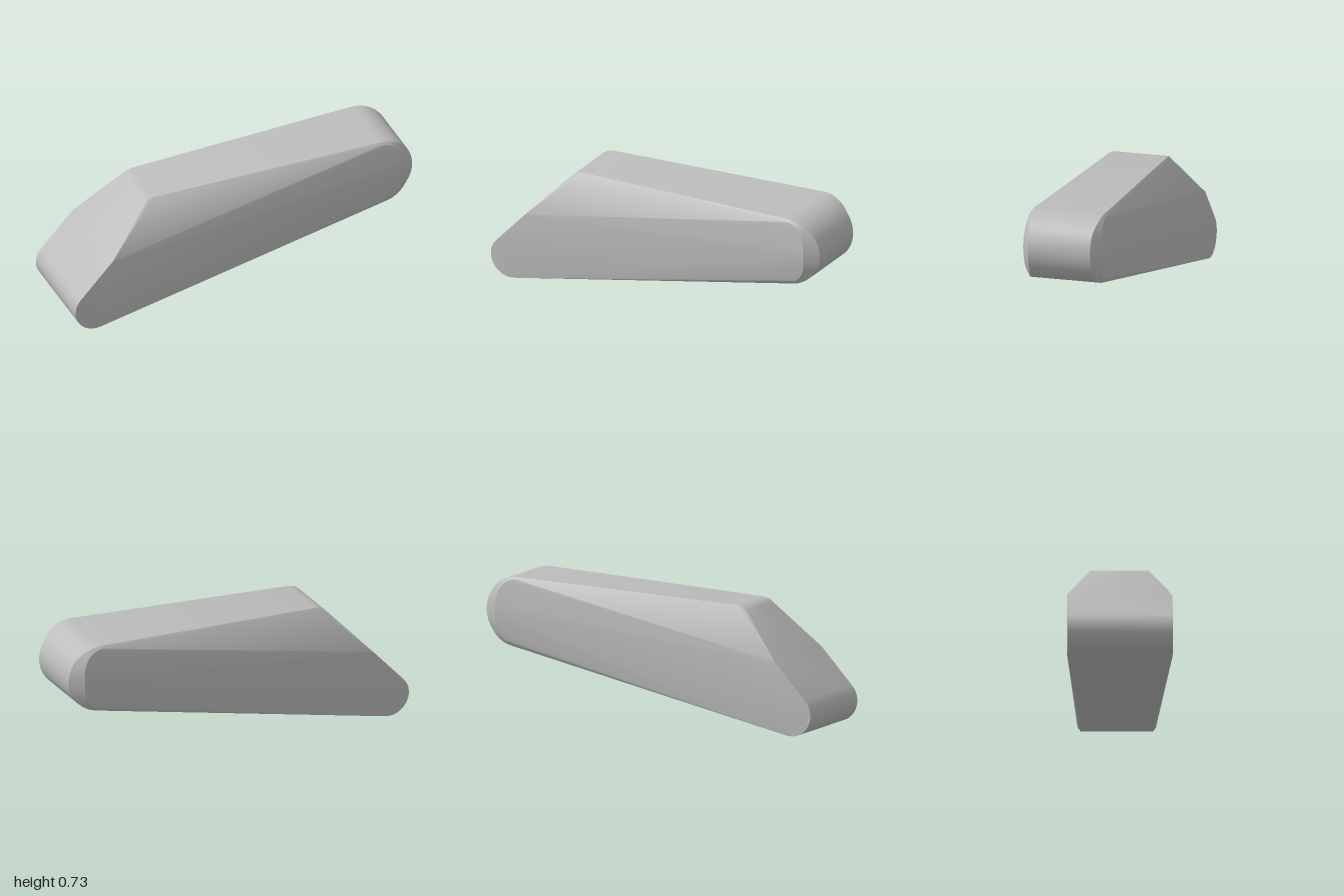
import * as THREE from 'three';
import { ConvexGeometry } from 'three/addons/geometries/ConvexGeometry.js';
import { toCreasedNormals } from 'three/addons/utils/BufferGeometryUtils.js';

export function createModel() {
  const group = new THREE.Group();
  group.name = 'taperedWedge';
  const grey = new THREE.MeshStandardMaterial({ color: 0xbcbcbc });
  grey.name = 'plain grey';

  const points = [];
  // every corner exists on both sides of the body
  const pair = (x, y, z) => points.push(new THREE.Vector3(x, y, z), new THREE.Vector3(x, y, -z));

  // wide rounded toe
  for (let i = 0; i <= 14; i++) {
    const a = THREE.MathUtils.degToRad(-79 - i * 146 / 14);
    pair(-0.882 + 0.118 * Math.cos(a), 0.118 + 0.118 * Math.sin(a), 0.284);
  }

  // shoulders, then the softened corner of the sloping top
  pair(-0.785, 0.398, 0.284);
  pair(-0.525, 0.648, 0.172);
  pair(-0.558, 0.642, 0.155);
  pair(-0.535, 0.66, 0.155);
  pair(-0.5, 0.668, 0.16);

  // narrow rounded heel with bevelled rims
  for (let i = 0; i <= 20; i++) {
    const a = THREE.MathUtils.degToRad(-79 + i * 172 / 20);
    const c = Math.cos(a), s = Math.sin(a), s2 = s * s;
    const rimZ = 0.175 + 0.023 * Math.max(0, (Math.abs(s) - 0.6) / 0.4);
    pair(0.81 + 0.19 * c, 0.54 + 0.19 * s, rimZ);
    const r = 0.115 + 0.062 * s2;
    pair(0.81 + r * c, 0.54 + r * s, 0.223 - 0.014 * s2);
  }

  const body = new THREE.Mesh(toCreasedNormals(new ConvexGeometry(points), 0.45), grey);
  body.name = 'body';
  group.add(body);
  return group;
}
